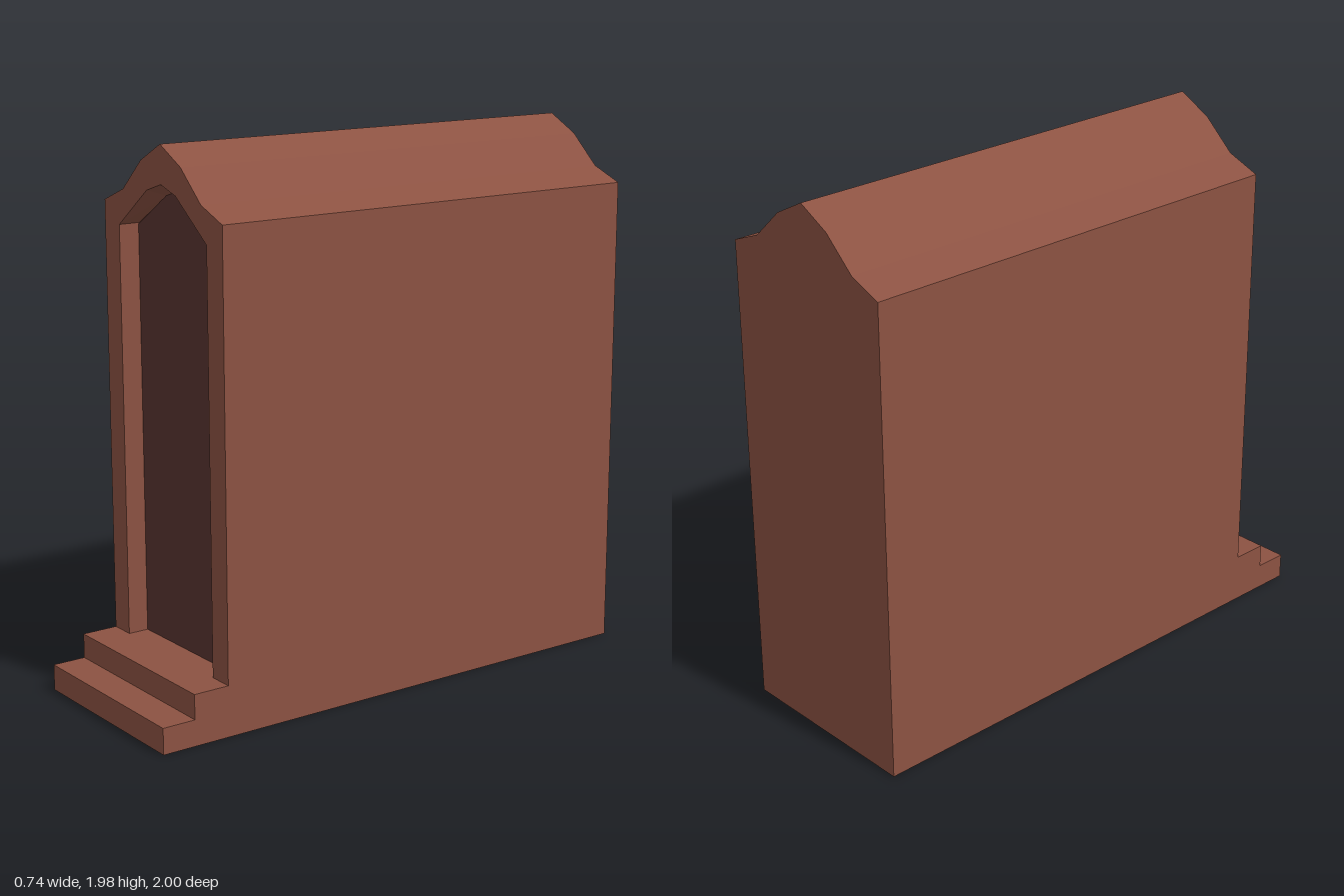
import * as THREE from 'three';

const brick = new THREE.MeshStandardMaterial({ color: 0x8c5242, flatShading: true });
const dark = new THREE.MeshStandardMaterial({ color: 0x583430, flatShading: true });

const HALF = 0.37, FRONT = 0.74, BACK = -1, RECESS = 0.08, SILL = 0.185;

// Closed outline from its right half, listed from bottom to apex
function mirrored(half) {
  const left = half.filter(([x]) => x > 0).reverse().map(([x, y]) => [-x, y]);
  return [...half, ...left].map(([x, y]) => new THREE.Vector2(x, y));
}

function extrude(shape, z0, z1) {
  const geo = new THREE.ExtrudeGeometry(shape, { depth: z1 - z0, bevelEnabled: false });
  return geo.translate(0, 0, z0);
}

export function createModel() {
  const group = new THREE.Group();
  const add = (name, geo, mat = brick) => {
    const mesh = new THREE.Mesh(geo, mat);
    mesh.name = name;
    group.add(mesh);
  };

  const outline = mirrored([[HALF, 0], [HALF, 1.75], [0.245, 1.8], [0.125, 1.91], [0, 1.975]]);
  const opening = mirrored([[0.275, SILL], [0.275, 1.673], [0.09, 1.812], [0, 1.84]]);
  const doorOutline = mirrored([[0.275, SILL], [0.275, 1.668], [0.09, 1.787], [0, 1.814]]);
  const recessZ = FRONT - RECESS;

  // Long gabled body
  add('body', extrude(new THREE.Shape(outline), BACK, recessZ));

  // Front frame, with the ceiling of its opening sloping down toward the door
  const frameShape = new THREE.Shape(outline);
  frameShape.holes.push(new THREE.Path(opening));
  const frame = extrude(frameShape, recessZ, FRONT);
  const pos = frame.attributes.position;
  for (let i = 0; i < pos.count; i++) {
    const y = pos.getY(i);
    const atBack = pos.getZ(i) < recessZ + 0.01;
    if (atBack && Math.abs(pos.getX(i)) < 0.1 && y > 1.78 && y < 1.86) pos.setY(i, y - 0.026);
  }
  frame.computeVertexNormals();
  add('doorFrame', frame);

  // Dark door panel at the back of the recess
  const door = new THREE.ShapeGeometry(new THREE.Shape(doorOutline));
  add('door', door.translate(0, 0, recessZ + 0.003), dark);

  // Two front steps: [name, bottom, top, front z]
  for (const [name, y0, y1, z] of [['lowerStep', 0, 0.095, 1], ['upperStep', 0.095, SILL, 0.875]]) {
    const step = new THREE.BoxGeometry(HALF * 2, y1 - y0, z - FRONT);
    add(name, step.translate(0, (y0 + y1) / 2, (z + FRONT) / 2));
  }
  return group;
}
